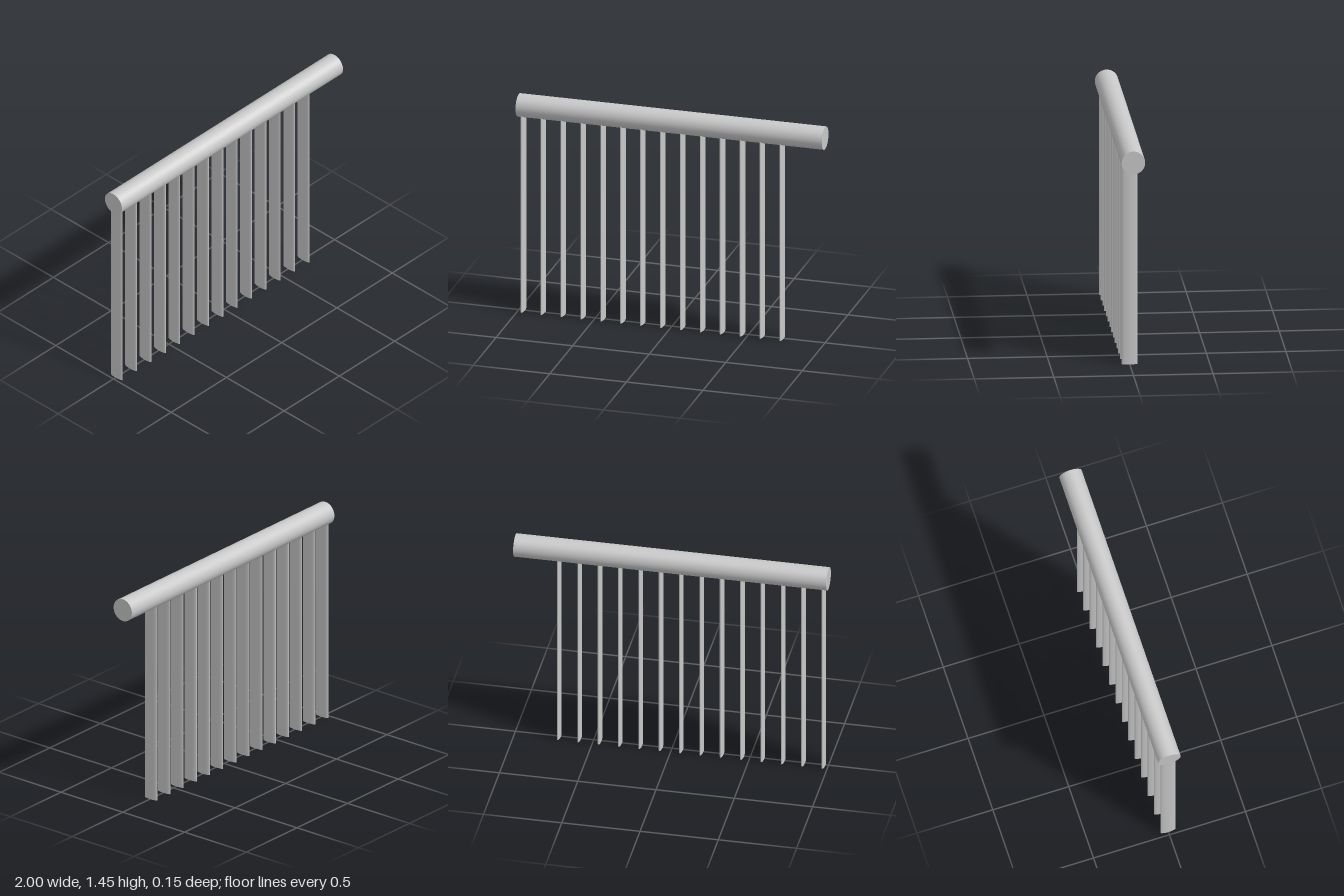
import * as THREE from 'three';

export function createModel() {
  const group = new THREE.Group();
  const lightGrey = new THREE.MeshStandardMaterial({ color: 0xc8c8c8 });
  lightGrey.name = 'lightGrey';

  // Horizontal head rail running along x
  const railRadius = 0.074, railY = 1.376;
  const rail = new THREE.Mesh(
    new THREE.CylinderGeometry(railRadius, railRadius, 2, 48).rotateZ(Math.PI / 2),
    lightGrey
  );
  rail.name = 'headRail';
  rail.position.y = railY;
  group.add(rail);

  // Hanging slats with a thin elliptical section, starting at the -x end
  const slatCount = 14, firstX = -0.97, spacing = 0.13;
  const slatGeometry = new THREE.CylinderGeometry(1, 1, railY, 32)
    .scale(0.011, 1, 0.05)
    .translate(0, railY / 2, 0);
  const slats = new THREE.Group();
  slats.name = 'slats';
  for (let i = 0; i < slatCount; i++) {
    const slat = new THREE.Mesh(slatGeometry, lightGrey);
    slat.name = `slat${i + 1}`;
    slat.position.x = firstX + i * spacing;
    slats.add(slat);
  }
  group.add(slats);

  return group;
}
